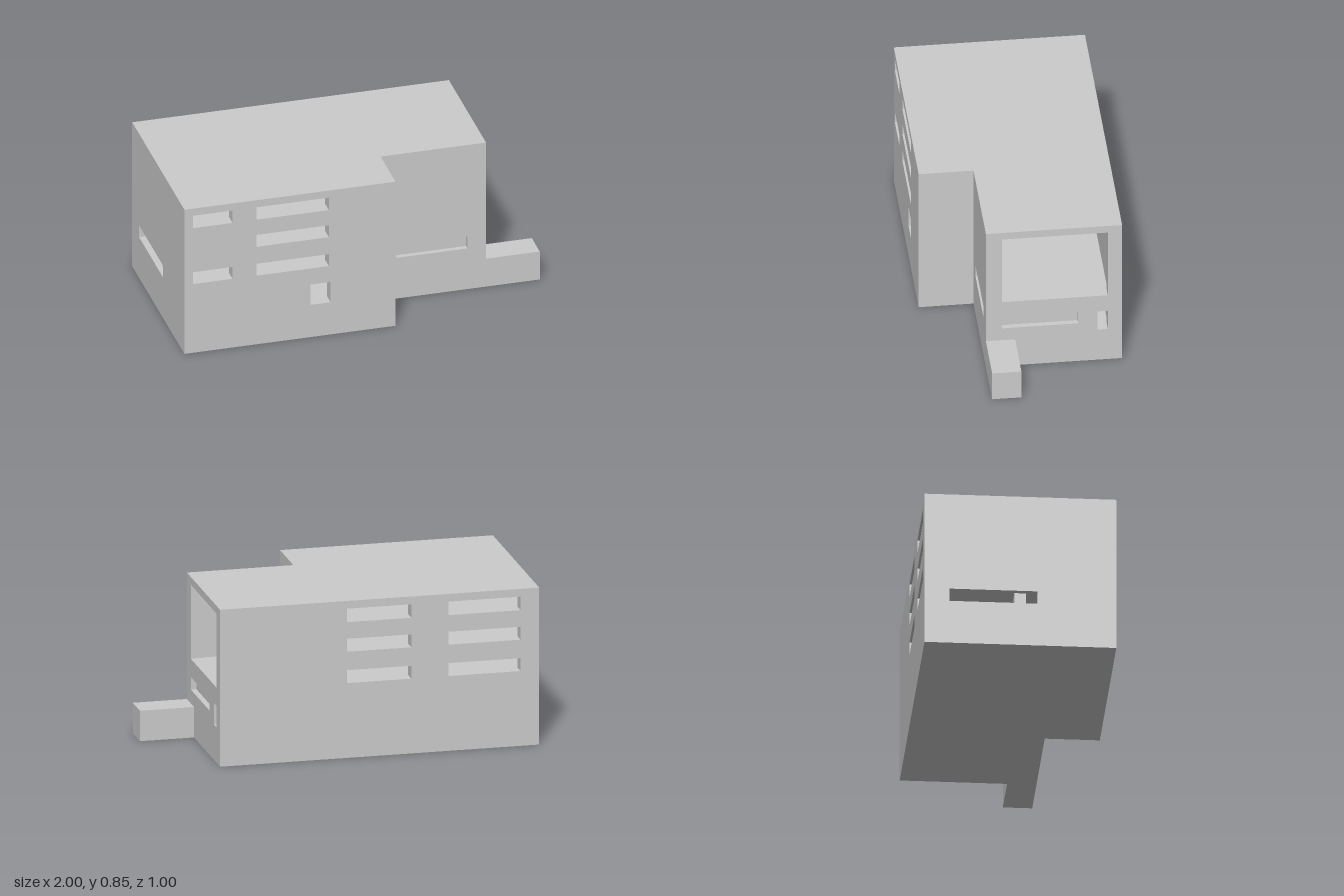
import * as THREE from 'three';

const material = new THREE.MeshStandardMaterial({ color: 0xcccccc, flatShading: true, side: THREE.DoubleSide });
const HEIGHT = 0.85, THICK = 0.07, SIDE = 0.045;

// closed path around a rectangle
function rectangle(PathType, u0, u1, v0, v1) {
  return new PathType([[u0, v0], [u1, v0], [u1, v1], [u0, v1]].map(([u, v]) => new THREE.Vector2(u, v)));
}

export function createModel() {
  const building = new THREE.Group();
  building.name = 'building';

  const add = (name, geometry) => {
    const mesh = new THREE.Mesh(geometry, material);
    mesh.name = name;
    building.add(mesh);
    return mesh;
  };

  const box = (name, x0, x1, y0, y1, z0, z1) =>
    add(name, new THREE.BoxGeometry(x1 - x0, y1 - y0, z1 - z0))
      .position.set((x0 + x1) / 2, (y0 + y1) / 2, (z0 + z1) / 2);

  // wall with openings [u0, u1, y0, y1]; u runs along x, or along z for side walls
  const wall = (name, u0, u1, openings, depth = THICK) => {
    const shape = rectangle(THREE.Shape, u0, u1, 0, HEIGHT);
    for (const o of openings) shape.holes.push(rectangle(THREE.Path, ...o));
    return add(name, new THREE.ExtrudeGeometry(shape, { depth, bevelEnabled: false }));
  };
  const wallAlongX = (name, z, ...rest) => { wall(name, ...rest).position.z = z; };
  const wallAlongZ = (name, x, ...rest) => {
    const mesh = wall(name, ...rest);
    mesh.rotation.y = -Math.PI / 2;
    mesh.position.x = x;
  };

  // window strips of the three upper storeys
  const rows = [[0.405, 0.475], [0.575, 0.645], [0.735, 0.808]];
  const frontOpenings = [[-0.32, -0.21, 0.19, 0.31]];
  const backOpenings = [];
  rows.forEach((row, i) => {
    frontOpenings.push([-0.61, -0.22, ...row]);
    if (i !== 1) frontOpenings.push([-0.953, -0.74, ...row]);
    backOpenings.push([-0.9, -0.515, ...row], [-0.315, 0.03, ...row]);
  });

  // outer walls
  wallAlongX('frontWall', 0.5 - THICK, -1 + SIDE, 0.14, frontOpenings);
  wallAlongX('recessedFrontWall', 0.213 - THICK, 0.07, 0.71 - THICK, [[0.227, 0.61, 0.24, 0.31]]);
  wallAlongX('backWall', -0.5, -1 + SIDE, 0.71 - THICK, backOpenings);
  wallAlongZ('returnWall', 0.14, 0.213, 0.5 - THICK, []);
  wallAlongZ('leftEndWall', -1 + SIDE, -0.5, 0.5, [[-0.37, 0.09, 0.24, 0.31]], SIDE);
  wallAlongZ('rightEndWall', 0.71, -0.5, 0.213, [
    [-0.425, 0.13, 0.407, 0.808],
    [-0.27, 0.13, 0.24, 0.308],
    [-0.425, -0.37, 0.192, 0.308],
  ]);

  // set-back window panels
  box('recessedWindowPanel', 0.2, 0.63, 0.22, 0.33, 0.15, 0.185);
  box('endWindowPanel', 0.645, 0.68, 0.22, 0.33, -0.29, 0.14);

  // floor plates; the double-height hall interrupts two of them
  const plates = [
    ['groundPlinth', 0, 0.19, true], ['firstFloor', 0.31, 0.405, true],
    ['secondFloor', 0.475, 0.575, false], ['thirdFloor', 0.645, 0.735, false],
    ['roof', 0.81, HEIGHT, true],
  ];
  for (const [name, y0, y1, full] of plates) {
    box(name, -0.98, 0.12, y0, y1, -0.48, 0.48);
    if (full) box(name + 'Wing', 0.12, 0.69, y0, y1, -0.48, 0.19);
  }

  // inner partitions
  box('hallPartition', 0.07, 0.14, 0.1, 0.83, -0.46, 0.16);
  box('corridorPartitionLeft', -0.97, -0.565, 0.1, 0.83, -0.03, 0.03);
  box('corridorPartitionRight', -0.28, 0.1, 0.1, 0.83, -0.03, 0.03);

  // low block at the right end
  box('lowAnnex', 0.7, 1, 0, 0.165, 0.06, 0.213);

  return building;
}
